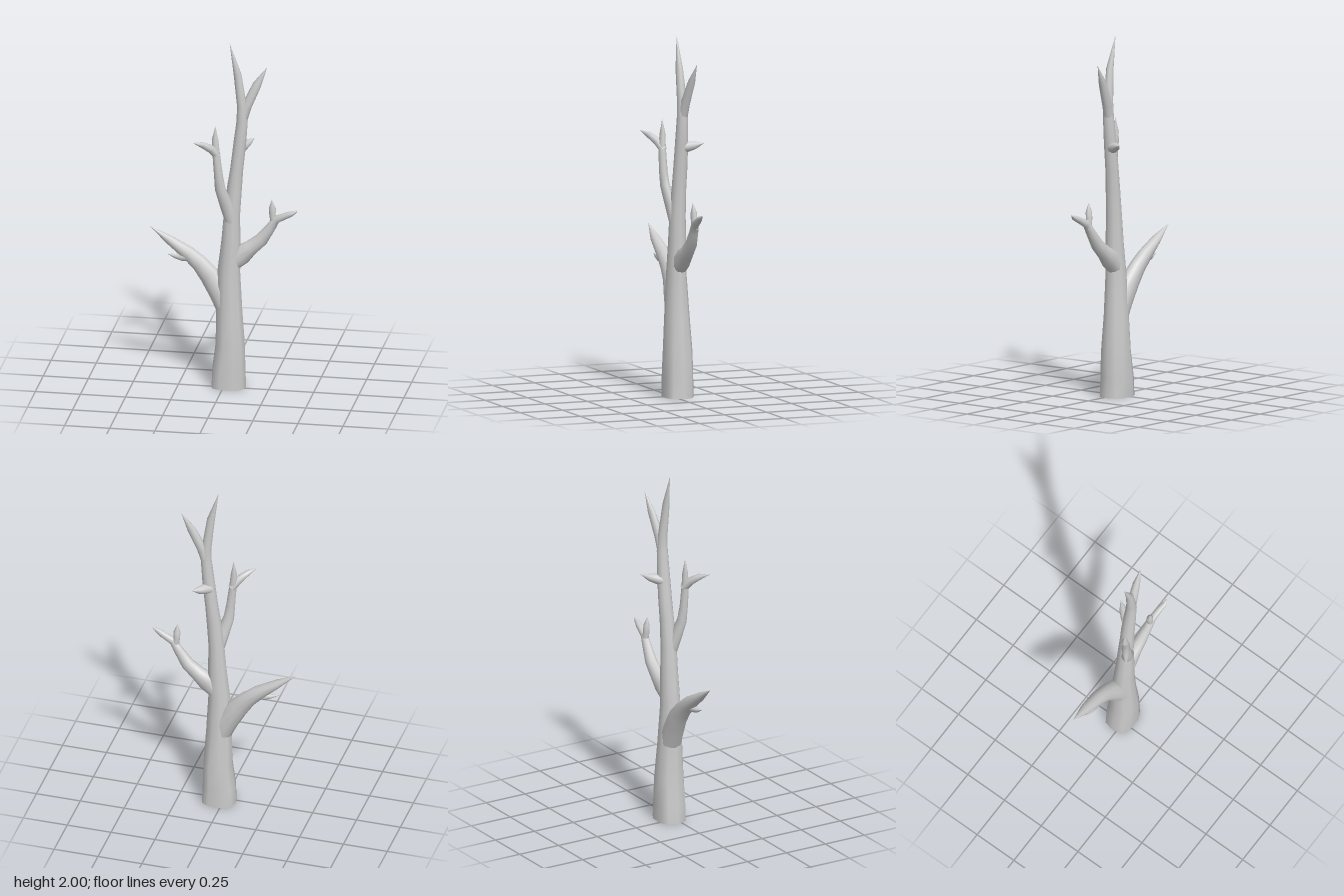
import * as THREE from 'three';

const bark = new THREE.MeshStandardMaterial({ color: 0xcccccc, side: THREE.DoubleSide });
const SIDES = 10;

// Tapering limb skinned over rings: each ring is [x, y, z, radius, radius along z, squareness].
function limb(name, rings) {
  const centres = rings.map(([x, y, z]) => new THREE.Vector3(x, y, z));
  const positions = [], index = [];
  rings.forEach(([, , , ra, rb = ra, square = 0], i) => {
    const before = centres[Math.max(i - 1, 0)];
    const after = centres[Math.min(i + 1, rings.length - 1)];
    const t = after.clone().sub(before).normalize();
    const b = new THREE.Vector3(0, 0, 1).addScaledVector(t, -t.z).normalize();
    const a = t.clone().cross(b);
    const bulge = (v) => Math.sign(v) * Math.pow(Math.abs(v), 1 - square);
    for (let j = 0; j < SIDES; j++) {
      const angle = (j / SIDES) * Math.PI * 2;
      const p = centres[i].clone()
        .addScaledVector(a, ra * bulge(Math.cos(angle)))
        .addScaledVector(b, rb * bulge(Math.sin(angle)));
      positions.push(p.x, p.y, p.z);
      if (i < rings.length - 1) {
        const k = i * SIDES, n = (j + 1) % SIDES;
        index.push(k + j, k + SIDES + j, k + n, k + SIDES + j, k + SIDES + n, k + n);
      }
    }
  });
  const geometry = new THREE.BufferGeometry();
  geometry.setAttribute('position', new THREE.Float32BufferAttribute(positions, 3));
  geometry.setIndex(index);
  geometry.computeVertexNormals();
  const mesh = new THREE.Mesh(geometry, bark);
  mesh.name = name;
  return mesh;
}

export function createModel() {
  const tree = new THREE.Group();
  tree.name = 'bareTree';

  // Trunk, open underneath, running on into the left-hand top spike
  tree.add(limb('trunk', [
    [0.026, 0, -0.022, 0.096, 0.08, 0.3],
    [0.026, 0.1, -0.022, 0.092, 0.081, 0.25],
    [0.034, 0.25, -0.02, 0.081, 0.079, 0.15],
    [0.028, 0.45, -0.018, 0.073, 0.069],
    [0.027, 0.67, -0.015, 0.063, 0.056],
    [0.039, 0.85, -0.015, 0.053, 0.05],
    [0.044, 1.0, -0.015, 0.045, 0.045],
    [0.058, 1.16, -0.018, 0.041, 0.04],
    [0.07, 1.27, -0.021, 0.036, 0.039],
    [0.087, 1.42, -0.022, 0.035, 0.036],
    [0.1, 1.55, -0.021, 0.031, 0.031],
    [0.098, 1.64, -0.019, 0.027, 0.027],
    [0.076, 1.82, -0.012, 0.022, 0.02],
    [0.031, 2.0, -0.015, 0],
  ]));
  tree.add(limb('topFork', [
    [0.098, 1.54, -0.022, 0.026],
    [0.122, 1.63, -0.028, 0.028, 0.026],
    [0.178, 1.755, -0.042, 0.024, 0.02],
    [0.234, 1.86, -0.052, 0],
  ]));

  // Heavy low branch with a short spur beneath it
  tree.add(limb('lowBranch', [
    [0.025, 0.43, -0.02, 0.06],
    [-0.02, 0.54, -0.025, 0.066, 0.058],
    [-0.085, 0.637, -0.033, 0.058, 0.046],
    [-0.14, 0.7, -0.035, 0.048, 0.042],
    [-0.2, 0.752, -0.036, 0.041, 0.039],
    [-0.31, 0.829, -0.032, 0.024, 0.029],
    [-0.415, 0.9, -0.032, 0],
  ]));
  tree.add(limb('lowSpur', [
    [-0.18, 0.74, -0.03, 0.028],
    [-0.235, 0.732, -0.026, 0.022],
    [-0.272, 0.736, -0.024, 0.013],
    [-0.316, 0.748, -0.022, 0],
  ]));

  // Bent branch on the opposite side, ending in two twigs
  tree.add(limb('bentBranch', [
    [0.025, 0.7, -0.02, 0.045],
    [0.09, 0.768, -0.025, 0.06, 0.045],
    [0.145, 0.81, -0.028, 0.043, 0.038],
    [0.205, 0.862, -0.027, 0.037, 0.033],
    [0.258, 0.938, -0.022, 0.027, 0.025],
    [0.288, 0.987, -0.018, 0.023, 0.021],
    [0.352, 1.018, -0.013, 0.018, 0.017],
    [0.385, 1.034, -0.006, 0.013, 0.014],
    [0.413, 1.05, -0.01, 0],
  ]));
  tree.add(limb('bentTwig', [
    [0.278, 0.955, -0.02, 0.02],
    [0.268, 1.015, -0.02, 0.018],
    [0.268, 1.05, -0.018, 0.02, 0.017],
    [0.265, 1.103, -0.014, 0],
  ]));

  // Upright front branch with a side spur
  tree.add(limb('frontBranch', [
    [0.042, 0.97, -0.005, 0.036],
    [0.018, 1.07, 0.018, 0.037, 0.03],
    [-0.012, 1.165, 0.036, 0.03, 0.026],
    [-0.02, 1.24, 0.042, 0.025, 0.023],
    [-0.033, 1.37, 0.044, 0.021, 0.021],
    [-0.04, 1.45, 0.039, 0.018, 0.015],
    [-0.038, 1.532, 0.041, 0],
  ]));
  tree.add(limb('frontSpur', [
    [-0.027, 1.36, 0.038, 0.022],
    [-0.06, 1.405, 0.062, 0.023],
    [-0.102, 1.437, 0.095, 0.017],
    [-0.149, 1.458, 0.129, 0],
  ]));

  // Small spur at the back of the upper trunk
  tree.add(limb('backSpur', [
    [0.083, 1.385, -0.03, 0.034],
    [0.1, 1.39, -0.06, 0.028],
    [0.12, 1.398, -0.09, 0.021],
    [0.151, 1.412, -0.13, 0],
  ]));

  return tree;
}
